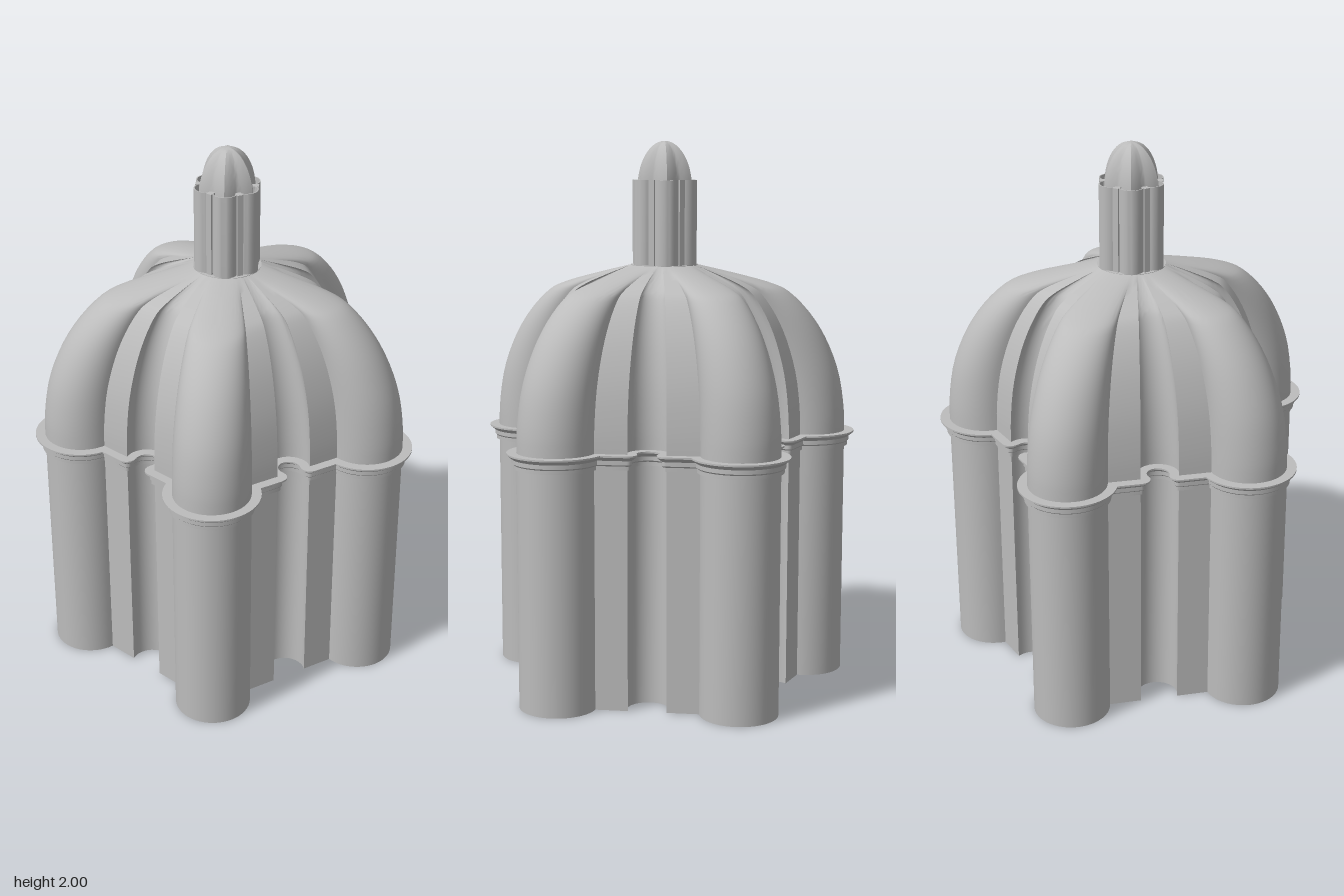
import * as THREE from 'three';
import { toCreasedNormals } from 'three/addons/utils/BufferGeometryUtils.js';

const CZ = -0.05; // centre of the five-lobed plan on z
const RAD = Math.PI / 180;
const stone = new THREE.MeshStandardMaterial({ color: 0xbcbcbc, side: THREE.DoubleSide });
stone.name = 'stone';

// Skin a stack of closed rings of [x, y, z] points
function loft(rings, crease = 0.55) {
  const pos = [];
  const tri = (a, b, c) => {
    const [A, B, C] = [a, b, c].map((p) => new THREE.Vector3(...p));
    if (B.sub(A).cross(C.sub(A)).length() > 1e-9) pos.push(...a, ...b, ...c);
  };
  for (let j = 0; j < rings.length - 1; j++) {
    const lo = rings[j], hi = rings[j + 1], n = lo.length;
    for (let i = 0; i < n; i++) {
      const k = (i + 1) % n;
      tri(lo[i], lo[k], hi[k]);
      tri(lo[i], hi[k], hi[i]);
    }
  }
  const g = new THREE.BufferGeometry();
  g.setAttribute('position', new THREE.Float32BufferAttribute(pos, 3));
  g.computeVertexNormals();
  return toCreasedNormals(g, crease);
}

// Mirror a half sector of (u, v) points and repeat it round the centre
function repeatSector(half, count) {
  const full = [...half.slice(1, -1).reverse().map(([u, v]) => [-u, v]), ...half];
  const out = [];
  for (let k = 0; k < count; k++) {
    const phi = ((k + 0.5) * 2 * Math.PI) / count;
    for (const [u, v] of full) {
      out.push([v * Math.sin(phi) + u * Math.cos(phi), v * Math.cos(phi) - u * Math.sin(phi) + CZ]);
    }
  }
  return out;
}
const atHeight = (plan, y) => plan.map(([x, z]) => [x, y, z]);

// Half of one bay, from the notch middle to the lobe tip, offset outward by d
const NOTCH_V = 0.44, NOTCH_R = 0.075, FLAT_V = 0.47, LOBE_R = 0.14, LOBE_D = 0.55;
function halfBay(d) {
  const pts = [];
  const step = FLAT_V - NOTCH_V;
  const inset = Math.min(d, 0);
  const nr = NOTCH_R - d;
  const end = Math.PI - Math.acos((step + inset) / (NOTCH_R - inset));
  // Concave notch
  for (let i = 0; i <= 10; i++) {
    const a = (i / 10) * end;
    pts.push([nr * Math.sin(a), NOTCH_V - nr * Math.cos(a)]);
  }
  // Rounded corner beside the notch
  const r = Math.max(d, 0);
  const ku = (NOTCH_R - inset) * Math.sin(end);
  const kv = FLAT_V + inset;
  const a0 = Math.atan2(Math.cos(end), -Math.sin(end));
  const from = a0 < 0 ? a0 + 2 * Math.PI : a0;
  for (let i = 1; i <= 5; i++) {
    const a = from + (Math.PI / 2 - from) * (i / 5);
    pts.push([ku + r * Math.cos(a), kv + r * Math.sin(a)]);
  }
  // Flat wall running into the round lobe
  const lu = LOBE_D * Math.sin(36 * RAD), lv = LOBE_D * Math.cos(36 * RAD);
  const R = LOBE_R + d, dv = FLAT_V + d - lv;
  const start = Math.PI - Math.asin(dv / R);
  const last = pts[pts.length - 1];
  pts.push([(last[0] + lu + R * Math.cos(start)) / 2, FLAT_V + d]);
  for (let i = 0; i <= 16; i++) {
    const a = start + (54 * RAD - start) * (i / 16);
    pts.push([lu + R * Math.cos(a), lv + R * Math.sin(a)]);
  }
  return pts;
}
const plan = (d) => repeatSector(halfBay(d), 5);

// Small six-lobed plan of the lantern, lobes at front and back
function lanternPlan(d) {
  const D = 0.08, R = 0.045 + d;
  const lu = D * Math.sin(30 * RAD), lv = D * Math.cos(30 * RAD);
  const start = Math.PI - Math.acos(lu / R);
  const half = [];
  for (let i = 0; i <= 8; i++) {
    const a = start + (60 * RAD - start) * (i / 8);
    half.push([lu + R * Math.cos(a), lv + R * Math.sin(a)]);
  }
  return repeatSector(half, 6);
}

export function createModel() {
  const group = new THREE.Group();
  const add = (name, geometry) => {
    const mesh = new THREE.Mesh(geometry, stone);
    mesh.name = name;
    group.add(mesh);
    return mesh;
  };

  // Thin hollow walls, open below
  const wallProfile = [[-0.014, 0.9], [-0.014, 0], [0, 0], [0, 0.91]];
  add('walls', loft(wallProfile.map(([d, y]) => atHeight(plan(d), y))));

  // Stepped moulding following the plan
  const cornice = [
    [0, 0.87], [0.012, 0.87], [0.012, 0.884], [0.017, 0.889], [0.017, 0.904],
    [0.025, 0.91], [0.035, 0.918], [0.035, 0.924], [0, 0.924],
  ];
  add('cornice', loft(cornice.map(([d, y]) => atHeight(plan(d), y))));

  // Ribbed dome: the plan shrinks to a ring below the lantern
  const TOP_R = 0.122;
  const base = halfBay(0);
  const lobeStart = base.length - 17;
  const crown = base.map(([u], i) => {
    const angle = i < lobeStart ? (11 * u) / base[lobeStart][0] : 11 + (25 * (i - lobeStart)) / 16;
    return [TOP_R * Math.sin(angle * RAD), TOP_R * Math.cos(angle * RAD)];
  });
  const curve = new THREE.CatmullRomCurve3([
    [1, 0.91], [0.995, 1.0], [0.955, 1.14], [0.865, 1.27], [0.75, 1.37],
    [0.605, 1.45], [0.5, 1.478], [0.27, 1.515], [0, 1.552],
  ].map(([f, y]) => new THREE.Vector3(f, y, 0)));
  const lower = plan(0), upper = repeatSector(crown, 5);
  add('dome', loft(curve.getPoints(26).map(({ x: f, y }) => lower.map(([x, z], i) => [
    upper[i][0] + (x - upper[i][0]) * f, y, upper[i][1] + (z - upper[i][1]) * f,
  ]))));

  // Closing disc under the lantern
  const disc = add('domeCrown', new THREE.CylinderGeometry(0.124, 0.124, 0.006, 48));
  disc.position.set(0, 1.55, CZ);

  // Lantern drum, a thin scalloped shell
  const drum = [[-0.004, 1.55], [0, 1.55], [0, 1.86], [-0.004, 1.86], [-0.004, 1.56]];
  add('lanternDrum', loft(drum.map(([d, y]) => atHeight(lanternPlan(d), y))));

  // Slim pilasters between the lantern lobes
  for (let k = 0; k < 6; k++) {
    const a = (k + 0.5) * 60 * RAD;
    const p = add('lanternPilaster', new THREE.BoxGeometry(0.022, 0.31, 0.026));
    p.position.set(0.099 * Math.sin(a), 1.705, CZ + 0.099 * Math.cos(a));
    p.rotation.y = a;
  }

  // Star-ribbed cap
  const star = repeatSector([0, 1, 2, 3, 4, 5, 6].map((i) => {
    const a = i * 5 * RAD, r = 0.087 + 0.023 * (i / 6) ** 1.3;
    return [r * Math.sin(a), r * Math.cos(a)];
  }), 6);
  const capRings = [];
  for (let j = 0; j <= 14; j++) {
    const t = (j / 14) * (Math.PI / 2), s = Math.max(Math.cos(t), 0.001);
    capRings.push(star.map(([x, z]) => [x * s, 1.83 + 0.17 * Math.sin(t), CZ + (z - CZ) * s]));
  }
  add('lanternCap', loft(capRings, 0.5));

  return group;
}
